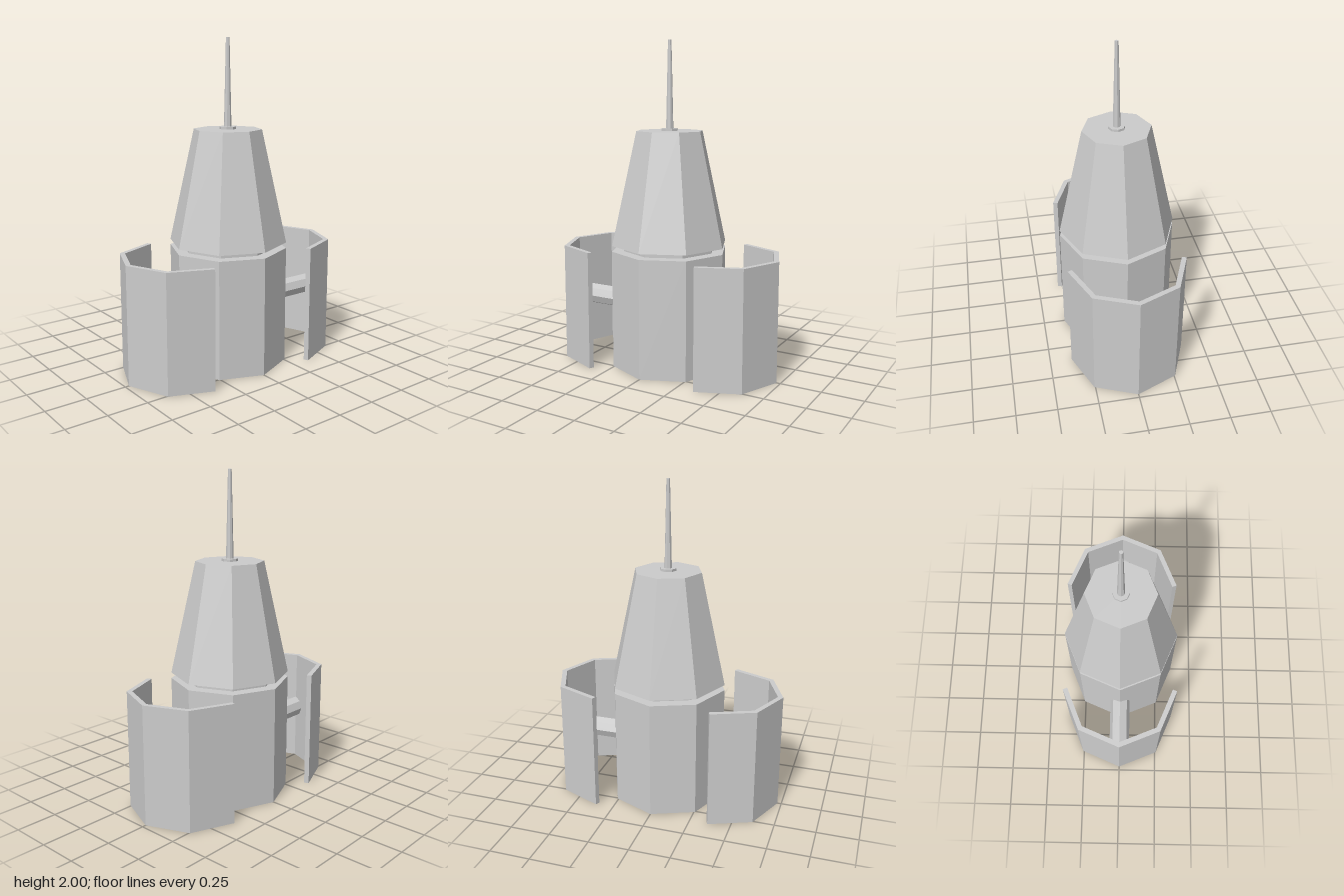
import * as THREE from 'three';

const R = 0.363;          // octagon radius shared by body, nose and shields
const BODY_TOP = 0.73;

export function createModel() {
  const model = new THREE.Group();
  model.name = 'spacecraft';
  const material = new THREE.MeshStandardMaterial({ color: 0xcccccc, flatShading: true });

  const add = (name, geometry, parent = model) => {
    const mesh = new THREE.Mesh(geometry, material);
    mesh.name = name;
    parent.add(mesh);
    return mesh;
  };

  // Eight-sided sections stacked along the centre line
  const section = (name, y0, y1, r0, r1) => {
    const geometry = new THREE.CylinderGeometry(r1, r0, y1 - y0, 8);
    add(name, geometry.translate(0, (y0 + y1) / 2, 0));
  };
  section('body', 0, BODY_TOP, R, R);
  section('neck', BODY_TOP, 0.765, 0.29, 0.29);
  section('nose', 0.765, 1.46, R, 0.208);
  section('antennaBase', 1.46, 1.475, 0.05, 0.05);
  section('antenna', 1.475, 2, 0.023, 0.011);

  // Shield outline: half an octagon with an even wall and square-cut ends
  const thickness = 0.03;
  const innerR = R - thickness / Math.cos(Math.PI / 8);
  const polar = (r, a) => new THREE.Vector2(R + r * Math.cos(a), r * Math.sin(a));
  const endX = R - thickness * Math.sin(Math.PI / 8);
  const endZ = R - thickness * Math.cos(Math.PI / 8);
  const angles = [-2, -1, 0, 1, 2].map((i) => (i * Math.PI) / 4);
  const outer = angles.map((a) => polar(R, a));
  const inner = angles.slice(1, 4).map((a) => polar(innerR, a)).reverse();
  const outline = new THREE.Shape([
    ...outer,
    new THREE.Vector2(endX, endZ),
    ...inner,
    new THREE.Vector2(endX, -endZ),
  ]);

  // One shield and its strut on each side
  for (const [side, turn] of [['left', 0], ['right', Math.PI]]) {
    const pod = new THREE.Group();
    pod.name = side + 'Pod';
    pod.rotation.y = turn;
    model.add(pod);

    const shield = new THREE.ExtrudeGeometry(outline, { depth: BODY_TOP, bevelEnabled: false });
    add(side + 'Shield', shield.rotateX(-Math.PI / 2), pod);

    const strut = new THREE.CylinderGeometry(0.065, 0.065, 0.39, 8);
    add(side + 'Strut', strut.rotateZ(Math.PI / 2).translate(0.495, BODY_TOP / 2, 0), pod);
  }
  return model;
}
